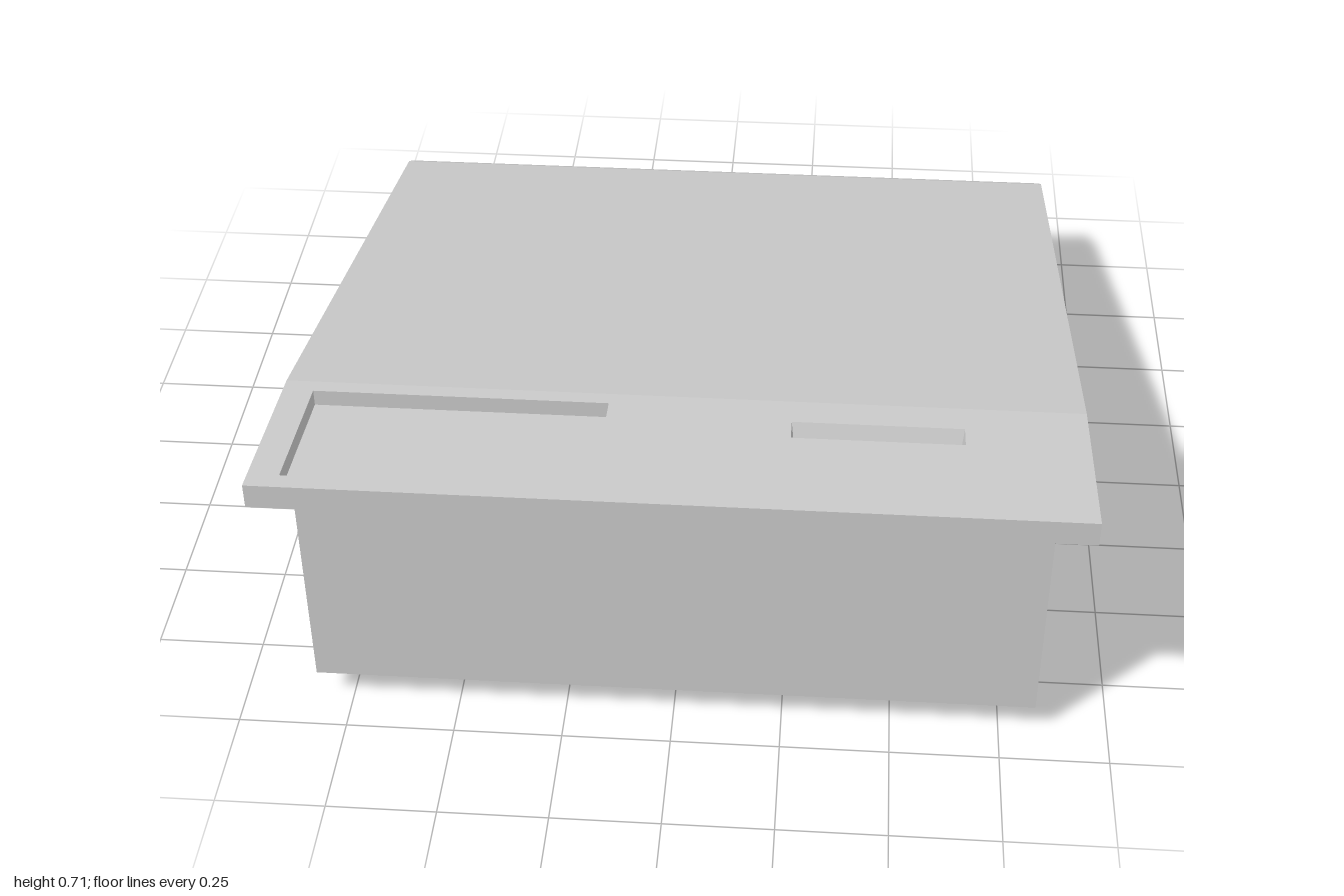
import * as THREE from 'three';

const material = new THREE.MeshStandardMaterial({ color: 0xcccccc });

// Flat-faced geometry from quads whose corners run counter-clockwise seen from outside
function quadGeometry(quads) {
  const points = quads.flatMap(([a, b, c, d]) => [a, b, c, a, c, d]).flat();
  const geometry = new THREE.BufferGeometry();
  geometry.setAttribute('position', new THREE.Float32BufferAttribute(points, 3));
  geometry.computeVertexNormals();
  return geometry;
}

function addMesh(group, name, geometry) {
  const mesh = new THREE.Mesh(geometry, material);
  mesh.name = name;
  group.add(mesh);
  return mesh;
}

// Side outlines from top to bottom: half width, then [z, y] stations from front to back
const levels = [
  { w: 0.91, p: [[1, 0.71], [0.57, 0.665], [-0.94, 0.315], [-1, 0.28]] },
  { w: 0.91, p: [[1, 0.65], [0.57, 0.605], [-0.94, 0.225], [-1, 0.21]] },
  { w: 0.83, p: [[0.91, 0.6], [0.53, 0.575], [-0.88, 0.225], [-0.9, 0.22]] },
  { w: 0.83, p: [[0.91, 0.075], [0.53, 0.085], [-0.88, 0.072], [-0.9, 0.072]] },
];
const corner = (level, station, side) => {
  const [z, y] = levels[level].p[station];
  return [side * levels[level].w, y, z];
};

// Band between two neighbouring outlines, all the way round
function band(l) {
  const quads = [
    [corner(l + 1, 0, -1), corner(l + 1, 0, 1), corner(l, 0, 1), corner(l, 0, -1)],
    [corner(l + 1, 3, 1), corner(l + 1, 3, -1), corner(l, 3, -1), corner(l, 3, 1)],
  ];
  for (let i = 0; i < 3; i++) {
    for (const s of [1, -1]) {
      const q = [corner(l + 1, i, s), corner(l + 1, i + 1, s), corner(l, i + 1, s), corner(l, i, s)];
      quads.push(s > 0 ? q : q.reverse());
    }
  }
  return quads;
}

// Strip across the full width between two stations, facing up
const strip = (l, i) => [corner(l, i, -1), corner(l, i, 1), corner(l, i + 1, 1), corner(l, i + 1, -1)];

// Height of the gently sloping front deck
const deckY = (z) => 0.665 + ((z - 0.57) * 0.045) / 0.43;

const rectangle = (x0, x1, z0, z1) => [[x0, z1], [x1, z1], [x1, z0], [x0, z0]];

// Recesses: opening, floor outline and depth below the deck
const recesses = [
  {
    name: 'trayRecess',
    rim: rectangle(-0.84, -0.165, 0.61, 0.955),
    floor: rectangle(-0.84, -0.165, 0.61, 0.955),
    depth: 0.04,
  },
  {
    name: 'slotRecess',
    rim: rectangle(0.25, 0.635, 0.655, 0.72),
    floor: rectangle(0.255, 0.63, 0.67, 0.705),
    depth: 0.04,
  },
];

function recessGeometry({ rim, floor, depth }) {
  const top = rim.map(([x, z]) => [x, deckY(z), z]);
  const bottom = floor.map(([x, z]) => [x, deckY(z) - depth, z]);
  const walls = top.map((t, i) => {
    const j = (i + 1) % 4;
    return [t, top[j], bottom[j], bottom[i]];
  });
  return quadGeometry([...walls, bottom]);
}

// Front deck: flat shape with holes, tilted onto the slope
function deckGeometry() {
  const toPoints = (outline) => outline.map(([x, z]) => new THREE.Vector2(x, -z));
  const shape = new THREE.Shape(toPoints(rectangle(-0.91, 0.91, 0.57, 1)));
  for (const r of recesses) shape.holes.push(new THREE.Path(toPoints(r.rim)));
  const geometry = new THREE.ShapeGeometry(shape);
  const pos = geometry.attributes.position;
  for (let i = 0; i < pos.count; i++) {
    const z = -pos.getY(i);
    pos.setXYZ(i, pos.getX(i), deckY(z), z);
  }
  geometry.computeVertexNormals();
  return geometry;
}

export function createModel() {
  const model = new THREE.Group();
  model.name = 'slopedDeskConsole';

  // Overhanging lid: long slope, rear lip, edge and bevelled underside
  addMesh(model, 'lid', quadGeometry([strip(0, 1), strip(0, 2), ...band(0), ...band(1)]));
  addMesh(model, 'frontDeck', deckGeometry());
  for (const recess of recesses) addMesh(model, recess.name, recessGeometry(recess));

  // Wedge-shaped base with its underside
  const underside = [0, 1, 2].map((i) => strip(3, i).reverse());
  addMesh(model, 'base', quadGeometry([...band(2), ...underside]));

  // Squashed round feet
  for (const x of [-0.71, 0.74]) {
    for (const z of [0.775, -0.81]) {
      const foot = addMesh(model, 'foot', new THREE.SphereGeometry(0.078, 32, 20));
      foot.scale.y = 0.58;
      foot.position.set(x, 0.045, z);
    }
  }
  return model;
}
